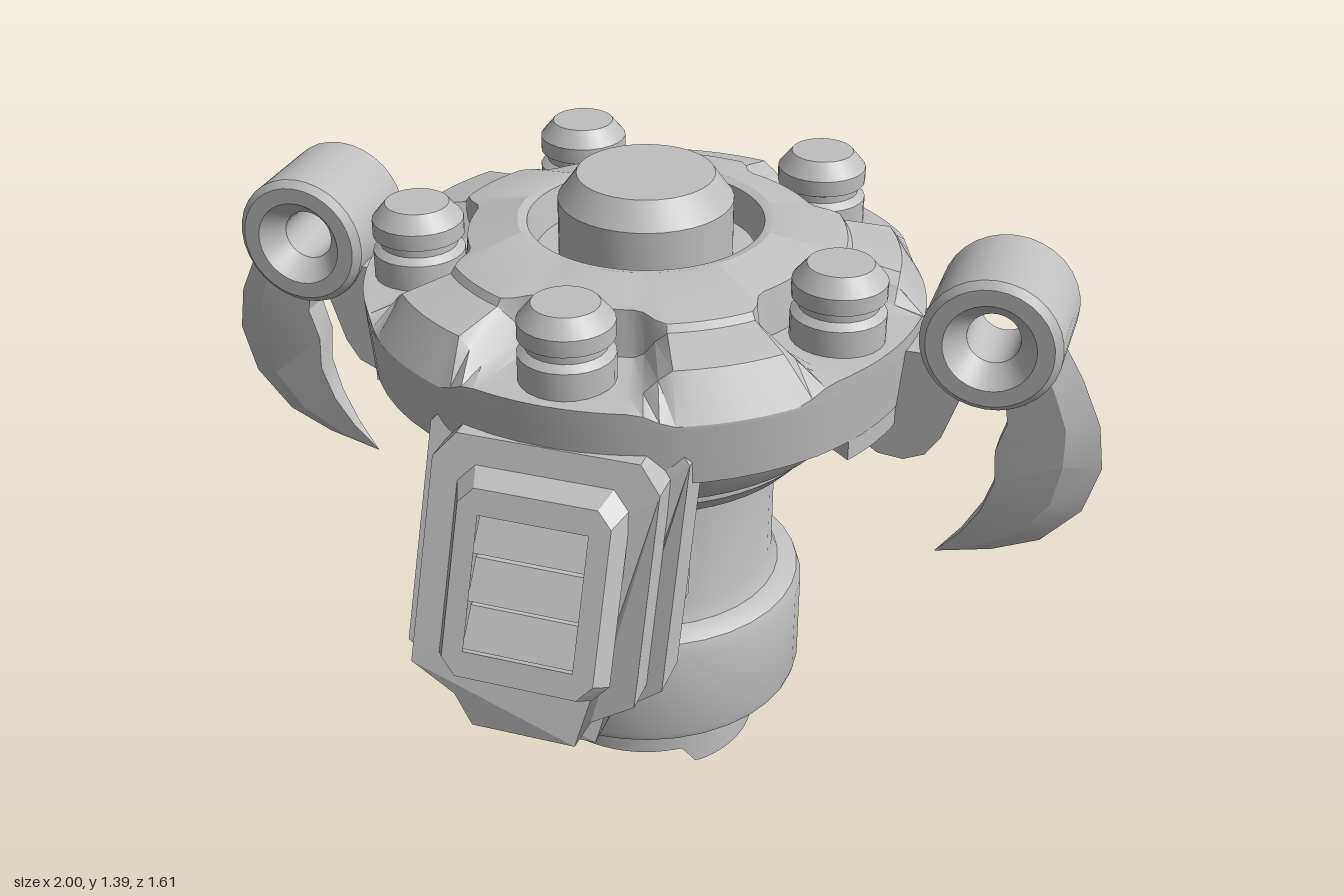
import * as THREE from 'three';
import { toCreasedNormals } from 'three/addons/utils/BufferGeometryUtils.js';

const grey = new THREE.MeshStandardMaterial({ color: 0xbfbfbf });
grey.name = 'plain grey';

const v2 = (pts) => pts.map(([x, y]) => new THREE.Vector2(x, y));
const lerp = THREE.MathUtils.lerp;

function add(parent, name, geometry) {
  const mesh = new THREE.Mesh(geometry, grey);
  mesh.name = name;
  parent.add(mesh);
  return mesh;
}

// Turned part; an optional rule moves its vertices
function turned(pts, segments = 36, rule = null) {
  const g = new THREE.LatheGeometry(v2(pts), segments);
  if (rule) {
    const p = g.attributes.position;
    for (let i = 0; i < p.count; i++) {
      const [x, y, z] = rule(p.getX(i), p.getY(i), p.getZ(i), i % pts.length);
      p.setXYZ(i, x, y, z);
    }
  }
  return toCreasedNormals(g, 0.5);
}

// Mirror a half outline (x >= 0, bottom to top) into a closed one
const mirrored = (half) => [...half, ...half.slice().reverse().map(([x, y]) => [-x, y])];

// Slab whose back and front depths follow y; the front may shrink about cy
function slab(outline, back, front, { hole = null, shrink = 1, cy = 0 } = {}) {
  const shape = new THREE.Shape(v2(outline));
  if (hole) shape.holes.push(new THREE.Path(v2(hole)));
  const g = new THREE.ExtrudeGeometry(shape, { depth: 1, bevelEnabled: false });
  const p = g.attributes.position;
  for (let i = 0; i < p.count; i++) {
    const t = p.getZ(i), s = lerp(1, shrink, t);
    const x = p.getX(i) * s, y = cy + (p.getY(i) - cy) * s;
    p.setXYZ(i, x, y, lerp(back(y), front(y), t));
  }
  g.computeVertexNormals();
  return g;
}

// 1 inside the five boss notches, 0 on the raised deck between them
function notchAmount(x, z) {
  const step = Math.PI * 2 / 5;
  const a = Math.atan2(x, z);
  const off = Math.abs(a - Math.round(a / step) * step) * 180 / Math.PI;
  return 1 - THREE.MathUtils.clamp((off - 17) / 6, 0, 1);
}

function makeBody() {
  const body = new THREE.Group();
  body.name = 'body';

  // Hollow foot, notched at front and back
  add(body, 'footRing', turned(
    [[0.17, 0.1], [0.17, 0], [0.255, 0], [0.255, 0.17]], 96,
    (x, y, z, k) => [x, k === 1 || k === 2
      ? 0.05 * THREE.MathUtils.clamp((Math.abs(z) / Math.hypot(x, z) - 0.7) / 0.09, 0, 1) : y, z]));
  for (const turn of [0, Math.PI / 2]) {
    const bar = add(body, 'footCross', new THREE.BoxGeometry(0.22, 0.08, 0.08));
    bar.position.y = 0.07;
    bar.rotation.y = turn;
  }

  // Collar, column and stepped underside of the head
  add(body, 'column', turned([
    [0, 0.1], [0.25, 0.1], [0.25, 0.16], [0.34, 0.16], [0.355, 0.168], [0.36, 0.185], [0.36, 0.395],
    [0.35, 0.425], [0.325, 0.44], [0.305, 0.445], [0.29, 0.485], [0.29, 0.78]]));
  add(body, 'headUnderside', turned([
    [0.28, 0.78], [0.365, 0.78], [0.4, 0.82], [0.4, 0.85], [0.435, 0.855],
    [0.52, 0.95], [0.53, 0.99], [0.587, 0.99], [0.598, 1.12]], 60));

  // Head deck with boss notches, groove and central cap
  const lowered = [null, [0.6, 1.155], [0.54, 1.158], [0.385, 1.16], [0.375, 1.26]];
  add(body, 'headDeck', turned([
    [0.598, 1.12], [0.598, 1.125], [0.54, 1.215], [0.435, 1.24], [0.425, 1.255], [0.27, 1.29],
    [0.25, 1.285], [0.235, 1.21], [0.18, 1.21]], 120,
    (x, y, z, k) => {
      const low = lowered[k];
      if (!low) return [x, y, z];
      const m = notchAmount(x, z), r = Math.hypot(x, z), s = lerp(r, low[0], m) / r;
      return [x * s, lerp(y, low[1], m), z * s];
    }));
  add(body, 'centreCap', turned(
    [[0.185, 1.2], [0.185, 1.335], [0.17, 1.355], [0.145, 1.39], [0, 1.39]]));

  // Five bosses around the deck
  for (let i = 0; i < 5; i++) {
    const a = i * Math.PI * 2 / 5;
    const boss = add(body, 'boss', turned([
      [0.098, 1.14], [0.098, 1.215], [0.082, 1.228], [0.082, 1.243], [0.097, 1.25],
      [0.097, 1.285], [0.068, 1.32], [0, 1.32]], 24));
    boss.position.set(0.48 * Math.sin(a), 0, 0.48 * Math.cos(a));
  }
  return body;
}

// Sloped shield with a louvred vent, facing +z
function makeShield() {
  const shield = new THREE.Group();
  shield.name = 'shield';
  const face = (d) => (y) => 0.655 + (1 - Math.max(y, 0.62)) * 0.4 + d;

  add(shield, 'shieldMount', slab(mirrored(
    [[0.15, 0.6], [0.24, 0.67], [0.24, 1.0], [0.18, 1.07]]),
    () => 0.436, face(-0.19)));
  add(shield, 'shieldBackPlate', slab(mirrored(
    [[0.13, 0.455], [0.165, 0.54], [0.27, 0.62], [0.27, 1.04], [0.215, 1.1]]),
    face(-0.2), face(-0.1)));
  add(shield, 'shieldFrontPlate', slab(mirrored(
    [[0.11, 0.49], [0.145, 0.56], [0.235, 0.62], [0.235, 1.01], [0.19, 1.06]]),
    face(-0.11), face(-0.035)));
  add(shield, 'ventFrame', slab(mirrored(
    [[0.145, 0.61], [0.18, 0.645], [0.18, 0.975], [0.145, 1.01]]),
    face(-0.04), face(0.005),
    { hole: mirrored([[0.13, 0.665], [0.13, 0.955]]), shrink: 0.88, cy: 0.81 }));
  for (const y of [0.72, 0.81, 0.9]) {
    add(shield, 'ventLouvre', slab(
      mirrored([[0.118, y - 0.035], [0.118, y + 0.035]]),
      face(-0.04), (h) => face(-0.012 - (h - y) * 0.35)(h)));
  }
  return shield;
}

// Hooked claw: knife edge outside, flat inside
function clawBlade() {
  const outer = [[0.88, 1.16], [0.94, 1.06], [0.985, 0.96], [1, 0.86], [0.97, 0.75],
    [0.89, 0.66], [0.79, 0.615], [0.67, 0.585]];
  const inner = [[0.76, 1.06], [0.79, 1.01], [0.8, 0.95], [0.78, 0.88], [0.785, 0.8],
    [0.76, 0.72], [0.72, 0.65], [0.668, 0.586]];
  const pos = [], idx = [];
  outer.forEach(([ox, oy], i) => {
    const [ix, iy] = inner[i];
    const w = 0.035 * (1 - (i / 7) ** 3);
    const mx = lerp(ox, ix, 0.35), my = lerp(oy, iy, 0.35);
    pos.push(ox, oy, 0, mx, my, w, ix, iy, w, ix, iy, -w, mx, my, -w);
    if (i === 7) return;
    for (let j = 0; j < 5; j++) {
      const a = i * 5 + j, b = i * 5 + (j + 1) % 5;
      idx.push(a, b, b + 5, a, b + 5, a + 5);
    }
  });
  const g = new THREE.BufferGeometry();
  g.setAttribute('position', new THREE.Float32BufferAttribute(pos, 3));
  g.setIndex(idx);
  return toCreasedNormals(g, 0.4);
}

// Claw arm on the +x side
function makeArm() {
  const arm = new THREE.Group();
  arm.name = 'clawArm';
  const ring = add(arm, 'pivotRing', turned([
    [0.055, 0.075], [0.055, -0.075], [0.095, -0.125], [0.13, -0.125], [0.145, -0.11],
    [0.145, 0.11], [0.13, 0.125], [0.095, 0.125], [0.055, 0.075]], 32).rotateX(Math.PI / 2));
  ring.position.set(0.76, 1.165, 0);
  add(arm, 'clawBlade', clawBlade());

  // Forked bracket tying the pivot to the head
  const bracket = [[0.45, 0.96], [0.5, 0.9], [0.545, 0.87], [0.6, 0.865], [0.645, 0.885],
    [0.675, 0.93], [0.715, 1.05], [0.66, 1.12], [0.55, 1.12]];
  for (const z of [-0.1, 0.06]) add(arm, 'bracketFork', slab(bracket, () => z, () => z + 0.04));
  add(arm, 'bracketCore', slab(
    [[0.46, 0.97], [0.56, 0.93], [0.63, 0.95], [0.68, 1.05], [0.64, 1.12], [0.55, 1.12]],
    () => -0.07, () => 0.07));

  // Curved block under the rim
  const s = new THREE.Shape();
  s.absarc(0, 0, 0.585, -0.48, 0.48, false);
  s.absarc(0, 0, 0.45, 0.42, -0.42, true);
  const block = new THREE.ExtrudeGeometry(s, { depth: 0.06, bevelEnabled: false, curveSegments: 12 });
  add(arm, 'rimBlock', toCreasedNormals(block.rotateX(-Math.PI / 2).translate(0, 0.945, 0), 0.5));
  return arm;
}

export function createModel() {
  const model = new THREE.Group();
  model.name = 'clawedTurret';
  model.add(makeBody());
  for (const turn of [0, Math.PI]) {
    const shield = makeShield(), arm = makeArm();
    shield.rotation.y = arm.rotation.y = turn;
    model.add(shield, arm);
  }
  return model;
}
